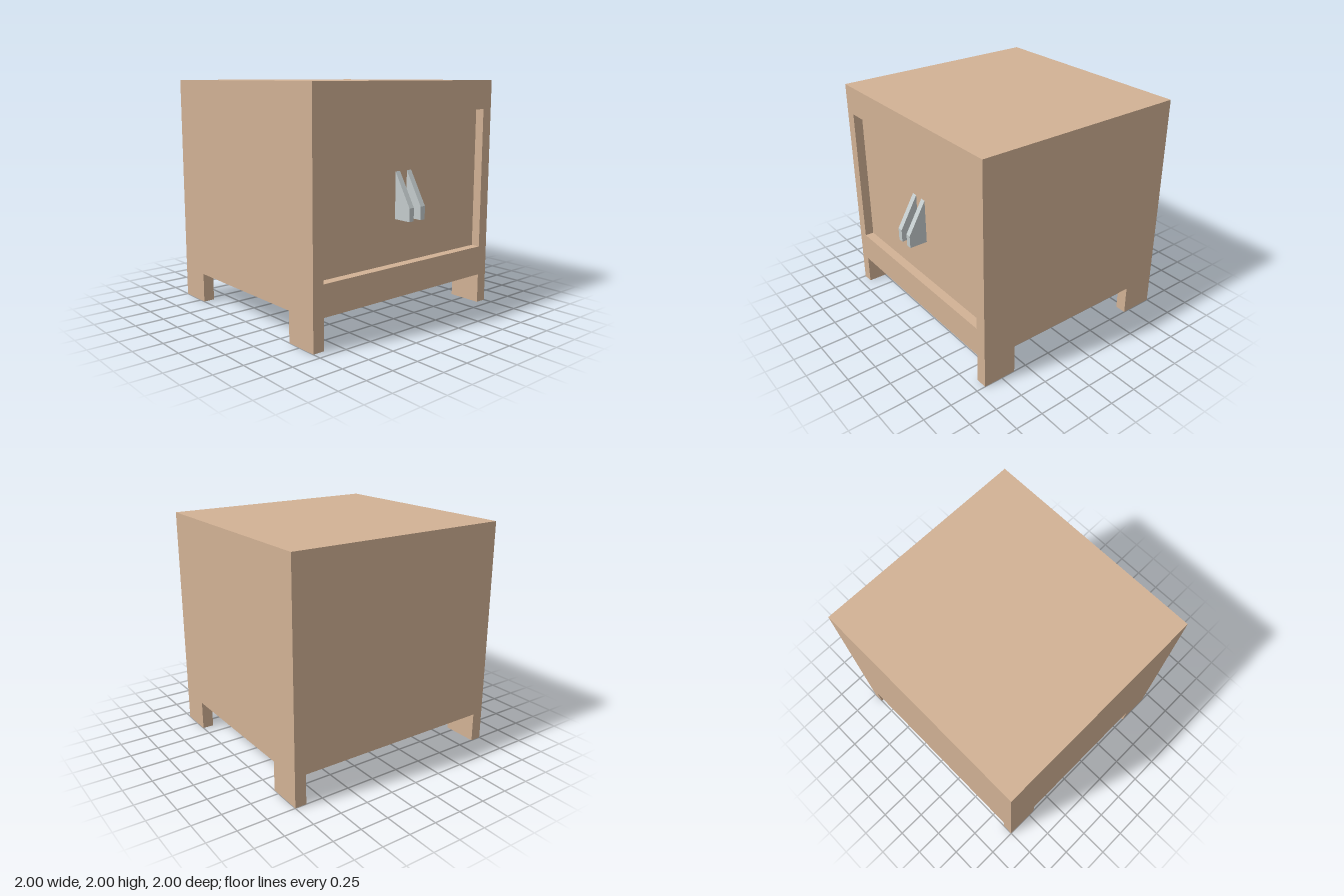
import * as THREE from 'three';

const wood = new THREE.MeshStandardMaterial({ color: 0xd2b295 });
const metal = new THREE.MeshStandardMaterial({ color: 0xc4cccd });

// Extrudes a side profile of [z, y] points across x, centred on the given x.
function profilePart(name, points, width, x, material) {
  const shape = new THREE.Shape(points.map(([z, y]) => new THREE.Vector2(z, y)));
  const geometry = new THREE.ExtrudeGeometry(shape, { depth: width, bevelEnabled: false });
  geometry.translate(0, 0, -width / 2).rotateY(-Math.PI / 2);
  const mesh = new THREE.Mesh(geometry, material);
  mesh.name = name;
  mesh.position.x = x;
  return mesh;
}

export function createModel() {
  const group = new THREE.Group();
  group.name = 'cabinet';

  const back = -1, front = 0.92, door = 0.84, floor = 0.26, top = 2;

  // Carcass between the sides, with the door face set back in the front
  group.add(profilePart('carcass', [
    [back, floor], [front, floor], [front, 0.52], [door, 0.52],
    [door, 1.75], [front, 1.75], [front, top], [back, top],
  ], 1.8, 0, wood));

  for (const [side, s] of [['left', 1], ['right', -1]]) {
    // Side panel, cut out below to leave a front and a back leg
    group.add(profilePart(`${side}SidePanel`, [
      [back, 0], [-0.69, 0], [-0.69, floor], [0.62, floor],
      [0.62, 0], [front, 0], [front, top], [back, top],
    ], 0.1, s * 0.95, wood));

    // Wedge handle on the door
    group.add(profilePart(`${side}Handle`, [
      [door, 0.89], [1, 0.89], [1, 1], [door, 1.28],
    ], 0.05, s * 0.064, metal));
  }

  return group;
}
